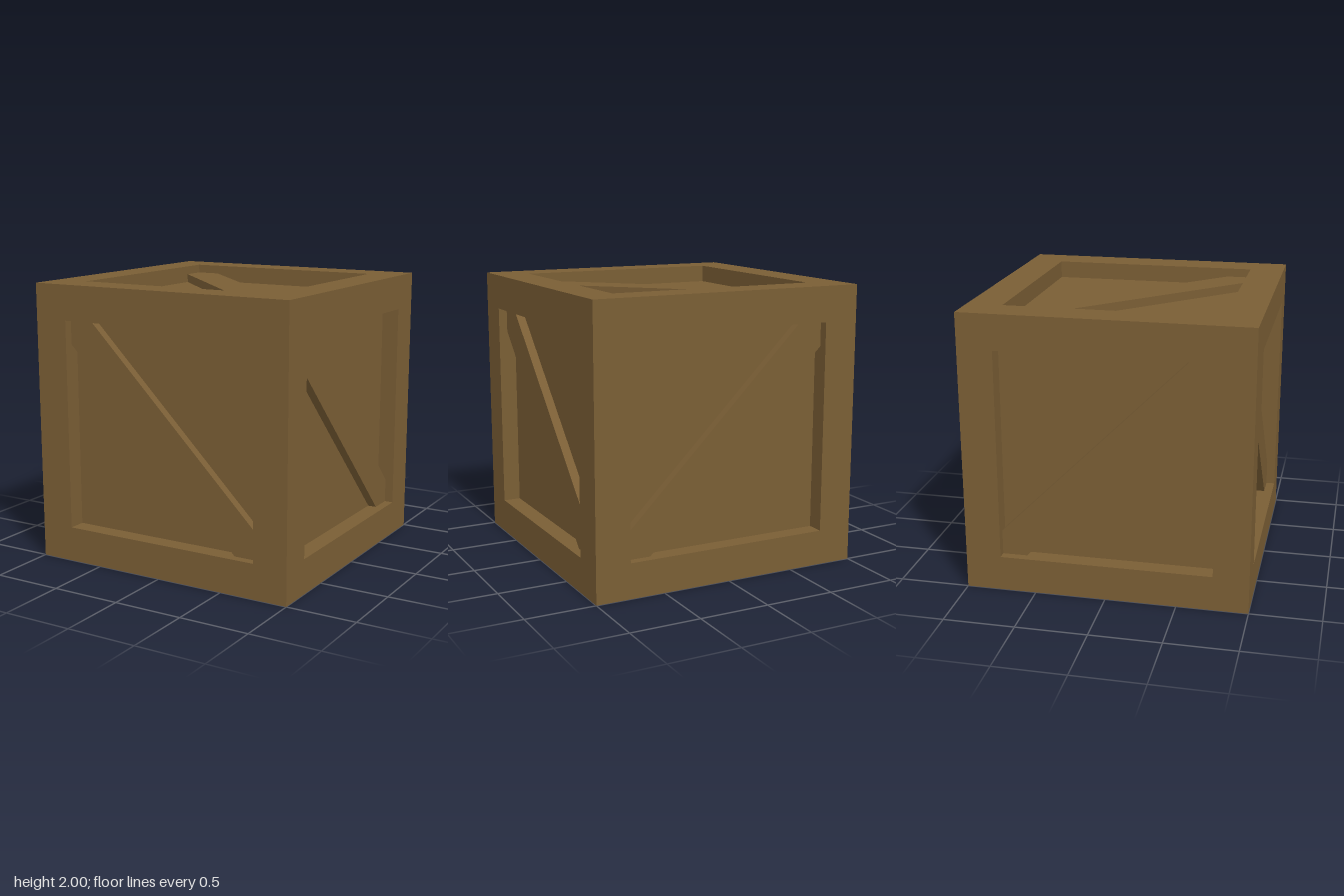
import * as THREE from 'three';

const HALF = 1;          // half the crate
const OPEN = 0.75;       // half the opening in each frame
const PANEL = 0.875;     // distance of the sunken panels from the centre
const BRACE = 0.9375;    // distance of the brace faces from the centre
const CUT = 0.575;       // where the brace edges meet the opening

const polygon = (pts) => new THREE.Shape(pts.map(([x, y]) => new THREE.Vector2(x, y)));
const square = (r) => [[-r, -r], [r, -r], [r, r], [-r, r]];

export function createModel() {
  const wood = new THREE.MeshStandardMaterial({ color: 0x7a5e35, side: THREE.DoubleSide });
  wood.name = 'brownWood';

  // Flat square frame
  const ring = polygon(square(HALF));
  ring.holes.push(polygon(square(OPEN).reverse()));
  const frameGeo = new THREE.ShapeGeometry(ring).translate(0, 0, HALF);

  // Inner walls of the frame: an open four-sided tube
  const lipGeo = new THREE.CylinderGeometry(
    OPEN * Math.SQRT2, OPEN * Math.SQRT2, HALF - PANEL, 4, 1, true
  ).rotateY(Math.PI / 4).rotateX(Math.PI / 2).translate(0, 0, (HALF + PANEL) / 2).toNonIndexed();
  lipGeo.computeVertexNormals();

  // Sunken panel
  const panelGeo = new THREE.PlaneGeometry(2 * OPEN, 2 * OPEN).translate(0, 0, PANEL);

  // Diagonal brace, trimmed to the corners of the opening
  const braceGeo = new THREE.ExtrudeGeometry(polygon([
    [-OPEN, OPEN], [-OPEN, CUT], [CUT, -OPEN], [OPEN, -OPEN], [OPEN, -CUT], [-CUT, OPEN],
  ]), { depth: BRACE - PANEL, bevelEnabled: false }).translate(0, 0, PANEL);

  const crate = new THREE.Group();
  crate.name = 'crate';

  function addSide(name, rx, ry, mirrored) {
    const side = new THREE.Group();
    side.name = name;
    const parts = { frame: frameGeo, frameInnerWalls: lipGeo, panel: panelGeo, brace: braceGeo };
    for (const [part, geo] of Object.entries(parts)) {
      const mesh = new THREE.Mesh(geo, wood);
      mesh.name = part;
      // Opposite sides carry braces running parallel to each other
      if (part === 'brace' && mirrored) mesh.rotation.z = Math.PI / 2;
      side.add(mesh);
    }
    side.rotation.set(rx, ry, 0);
    side.position.y = HALF;
    crate.add(side);
  }

  const Q = Math.PI / 2;
  addSide('frontSide', 0, 0, false);
  addSide('backSide', 0, 2 * Q, true);
  addSide('leftSide', 0, Q, false);
  addSide('rightSide', 0, -Q, true);
  addSide('topSide', -Q, 0, false);
  addSide('bottomSide', Q, 0, true);

  return crate;
}
